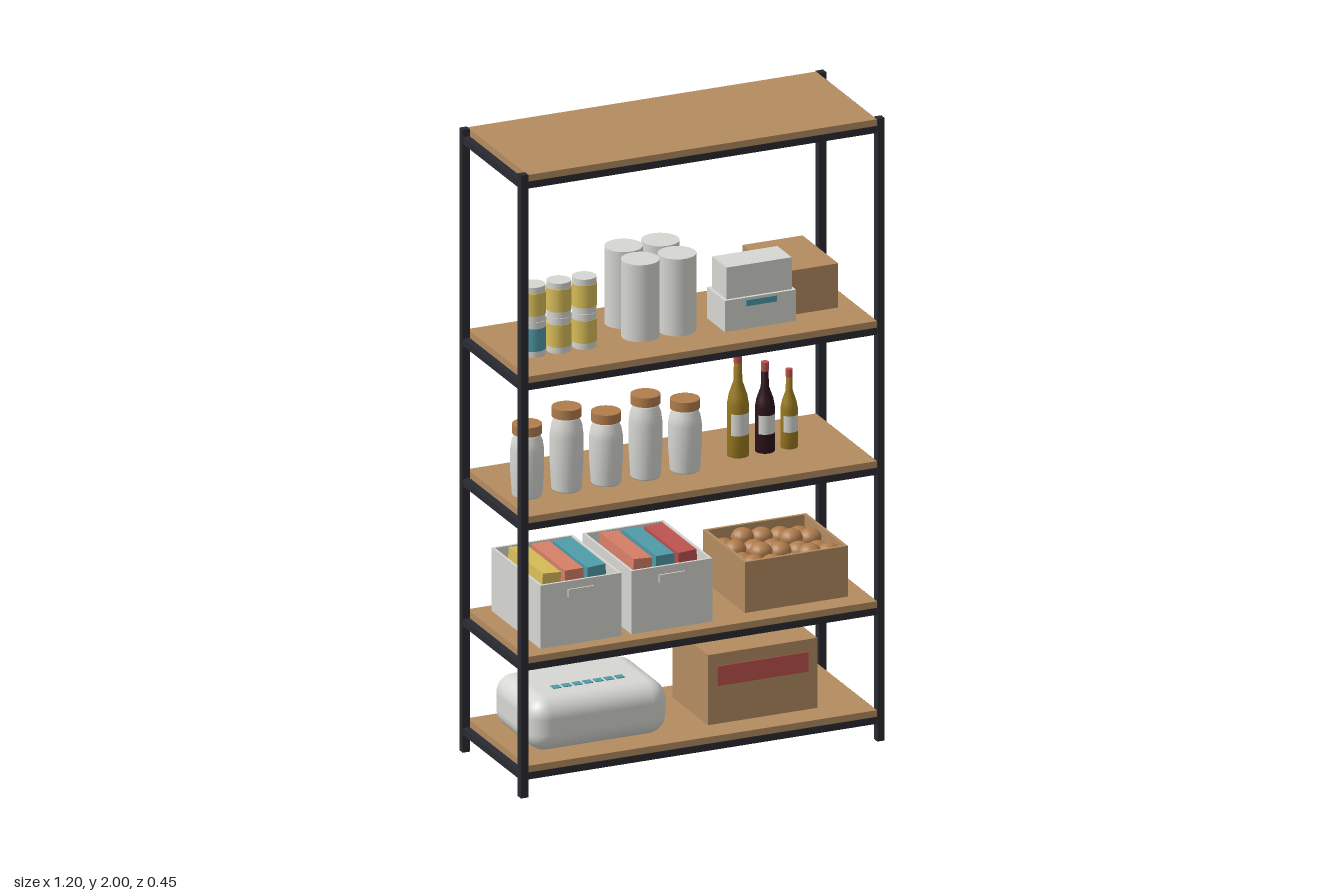
import * as THREE from 'three';
import { RoundedBoxGeometry } from 'three/addons/geometries/RoundedBoxGeometry.js';

export function createModel() {
  const root = new THREE.Group();
  root.name = 'stockedShelf';
  const mat = (name, color) => {
    const m = new THREE.MeshStandardMaterial({ color });
    m.name = name;
    return m;
  };
  const metal = mat('darkMetal', 0x2a2a32), wood = mat('wood', 0xb48c60);
  const white = mat('offWhite', 0xd6d7d2), red = mat('red', 0xbb514e);
  const teal = mat('teal', 0x4f9aa8), yellow = mat('yellow', 0xd8bc58);
  const orange = mat('orange', 0xd67f66), olive = mat('oliveGlass', 0x9a7a20);
  const wine = mat('darkGlass', 0x2e141a), cork = mat('cork', 0xb07c4c);

  const add = (name, geo, m, x = 0, y = 0, z = 0, parent = root) => {
    const mesh = new THREE.Mesh(geo, m);
    mesh.name = name;
    mesh.position.set(x, y, z);
    parent.add(mesh);
    return mesh;
  };
  // box given by its limits on each axis
  const box = (name, m, x0, x1, y0, y1, z0, z1, parent = root) =>
    add(name, new THREE.BoxGeometry(x1 - x0, y1 - y0, z1 - z0), m,
      (x0 + x1) / 2, (y0 + y1) / 2, (z0 + z1) / 2, parent);
  const cyl = (name, m, r, y0, y1, x, z, parent = root) =>
    add(name, new THREE.CylinderGeometry(r, r, y1 - y0, 32), m, x, (y0 + y1) / 2, z, parent);
  const lathe = (name, m, pts, x, y, z, parent = root) =>
    add(name, new THREE.LatheGeometry(pts.map(p => new THREE.Vector2(...p)), 32), m, x, y, z, parent);
  const group = (name) => {
    const g = new THREE.Group();
    g.name = name;
    root.add(g);
    return g;
  };
  // box without a lid
  const openBox = (name, m, x0, x1, y0, y1, z0, z1, t = 0.008) => {
    const g = group(name);
    box('floor', m, x0, x1, y0, y0 + t, z0, z1, g);
    box('leftWall', m, x1 - t, x1, y0 + t, y1, z0, z1, g);
    box('rightWall', m, x0, x0 + t, y0 + t, y1, z0, z1, g);
    box('frontWall', m, x0 + t, x1 - t, y0 + t, y1, z1 - t, z1, g);
    box('backWall', m, x0 + t, x1 - t, y0 + t, y1, z0, z0 + t, g);
    return g;
  };

  // frame posts
  for (const x of [-0.587, 0.587]) for (const z of [-0.213, 0.213])
    box('post', metal, x - 0.012, x + 0.012, 0, 2, z - 0.012, z + 0.012);

  // shelf boards with their rails
  for (const top of [0.1, 0.45, 0.9, 1.35, 1.998]) {
    const g = group('shelf');
    box('board', wood, -0.575, 0.575, top - 0.022, top, -0.222, 0.222, g);
    for (const s of [-1, 1]) {
      add('longRail', new THREE.BoxGeometry(1.15, 0.022, 0.022), metal, 0, top - 0.032, s * 0.213, g);
      add('sideRail', new THREE.BoxGeometry(0.022, 0.022, 0.404), metal, s * 0.587, top - 0.032, 0, g);
    }
  }

  // bottom shelf: sack with printed dashes, closed carton with label
  const sack = group('sack');
  add('sackBody', new RoundedBoxGeometry(0.455, 0.17, 0.32, 6, 0.06), white, -0.305, 0.187, 0.01, sack);
  for (let i = 0; i < 7; i++)
    add('printDash', new THREE.BoxGeometry(0.026, 0.003, 0.026), teal, -0.41 + i * 0.035, 0.2725, 0.06, sack);
  box('carton', wood, 0.06, 0.42, 0.1, 0.325, -0.13, 0.13);
  box('cartonLabel', red, 0.09, 0.39, 0.222, 0.285, 0.13, 0.133);

  // second shelf: two bins of folders
  [[-0.515, [yellow, orange, teal]], [-0.215, [orange, teal, red]]].forEach(([x0, colors]) => {
    const bin = openBox('bin', white, x0, x0 + 0.267, 0.452, 0.655, -0.176, 0.18);
    box('binHandle', white, x0 + 0.09, x0 + 0.175, 0.605, 0.63, 0.18, 0.185, bin);
    colors.forEach((c, i) => {
      const f = add('folder', new THREE.BoxGeometry(0.06, 0.2, 0.25), c,
        x0 + 0.055 + i * 0.079, 0.57, 0.005, bin);
      f.rotation.z = (i - 1) * 0.06;
    });
  });

  // crate of round vegetables
  const crate = openBox('crate', wood, 0.17, 0.51, 0.452, 0.615, -0.15, 0.155, 0.01);
  for (let i = 0; i < 5; i++) for (let j = 0; j < 4; j++) {
    const v = add('vegetable', new THREE.SphereGeometry(0.034, 16, 12), cork,
      0.215 + i * 0.062 + (j % 2) * 0.006, 0.568 + ((i * 3 + j * 2) % 4) * 0.008, -0.1 + j * 0.068, crate);
    v.scale.set(1.05, 0.85, 1);
  }
  box('crateFill', cork, 0.18, 0.5, 0.46, 0.55, -0.14, 0.145, crate);

  // third shelf: jars with cork lids
  for (let i = 0; i < 5; i++) {
    const h = i % 2 ? 0.235 : 0.2, jar = group('jar');
    lathe('jarBody', white, [[0, 0], [0.043, 0], [0.046, 0.005], [0.051, h * 0.4], [0.051, h * 0.75],
      [0.047, h * 0.88], [0.039, h * 0.97], [0.039, h], [0, h]], -0.5 + i * 0.13, 0.9, 0.05, jar);
    cyl('jarLid', cork, 0.045, 0.9 + h, 0.93 + h, -0.5 + i * 0.13, 0.05, jar);
  }

  // bottles with front labels and caps
  [[0.217, 0.033, 0.33, olive], [0.306, 0.03, 0.285, wine], [0.386, 0.026, 0.25, olive]].forEach(([x, r, h, m]) => {
    const b = group('bottle');
    lathe('bottleBody', m, [[0, 0], [r, 0], [r, h * 0.5], [r * 0.85, h * 0.59], [r * 0.42, h * 0.72],
      [r * 0.36, h * 0.9], [0, h * 0.9]], x, 0.9, 0, b);
    cyl('bottleCap', red, r * 0.4, 0.9 + h * 0.9, 0.9 + h, x, 0, b);
    const label = new THREE.CylinderGeometry(r + 0.001, r + 0.001, h * 0.21, 20, 1, true, -1.1, 2.2);
    add('bottleLabel', label, white, x, 0.9 + h * 0.32, 0, b);
  });

  // fourth shelf: stacked cans
  [teal, yellow, yellow].forEach((lower, i) => {
    const x = -0.48 + i * 0.084, can = group('canStack');
    [lower, yellow].forEach((c, k) => {
      const y = 1.35 + k * 0.113;
      cyl('can', white, 0.037, y, y + 0.112, x, 0.05, can);
      cyl('canLabel', c, 0.0385, y + 0.02, y + 0.092, x, 0.05, can);
    });
  });

  // paper rolls
  for (const x of [-0.123, -0.002]) for (const z of [0.041, -0.081])
    cyl('paperRoll', white, 0.058, 1.35, 1.597, x, z);

  // cartons
  box('lowerCarton', white, 0.12, 0.355, 1.35, 1.45, -0.01, 0.12);
  box('lowerCartonLabel', teal, 0.19, 0.29, 1.423, 1.442, 0.12, 0.123);
  box('upperCarton', white, 0.13, 0.345, 1.45, 1.552, 0.005, 0.11);
  box('brownCarton', wood, 0.318, 0.516, 1.35, 1.492, -0.19, 0.07);

  return root;
}
